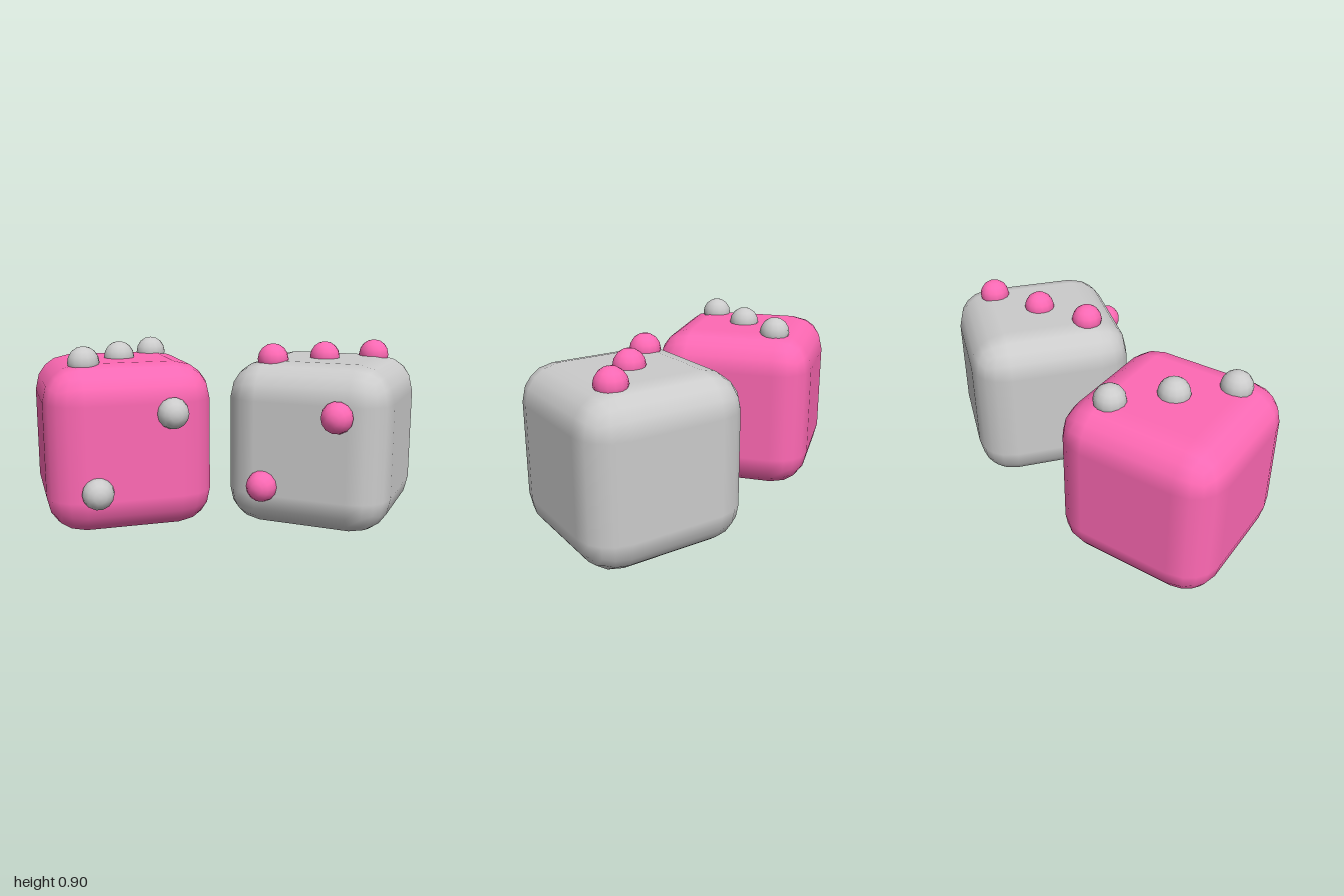
import * as THREE from 'three';
import { RoundedBoxGeometry } from 'three/addons/geometries/RoundedBoxGeometry.js';

const SIZE = 0.82, HALF = SIZE / 2;
const TOP_OFFSET = 0.206, FRONT_OFFSET = 0.183;

const grey = new THREE.MeshStandardMaterial({ color: 0xcccccc });
const pink = new THREE.MeshStandardMaterial({ color: 0xff69b4 });

const bodyGeometry = new RoundedBoxGeometry(SIZE, SIZE, SIZE, 2, 0.18);
const pipGeometry = new THREE.SphereGeometry(0.077, 14, 8);

// One die: rounded cube with three pips on top and two on the front
function createDie(name, bodyMaterial, pipMaterial) {
  const die = new THREE.Group();
  die.name = name;

  const body = new THREE.Mesh(bodyGeometry, bodyMaterial);
  body.name = 'dieBody';
  die.add(body);

  const addPip = (pipName, x, y, z) => {
    const pip = new THREE.Mesh(pipGeometry, pipMaterial);
    pip.name = pipName;
    pip.position.set(x, y, z);
    die.add(pip);
    return pip;
  };

  // Top diagonal of three
  for (const s of [-1, 0, 1]) addPip('topPip', s * TOP_OFFSET, HALF + 0.005, -s * TOP_OFFSET);

  // Front diagonal of two, poles facing outward
  for (const s of [-1, 1]) {
    addPip('frontPip', s * FRONT_OFFSET, s * FRONT_OFFSET, HALF + 0.005).rotation.x = Math.PI / 2;
  }
  return die;
}

export function createModel() {
  const model = new THREE.Group();
  model.name = 'pairOfDice';

  const rightDie = createDie('rightDie', pink, grey);
  rightDie.position.set(-0.533, HALF, -0.028);
  rightDie.rotation.y = 0.3;

  const leftDie = createDie('leftDie', grey, pink);
  leftDie.position.set(0.517, HALF, -0.028);
  leftDie.rotation.y = -0.4;

  model.add(rightDie, leftDie);
  return model;
}
